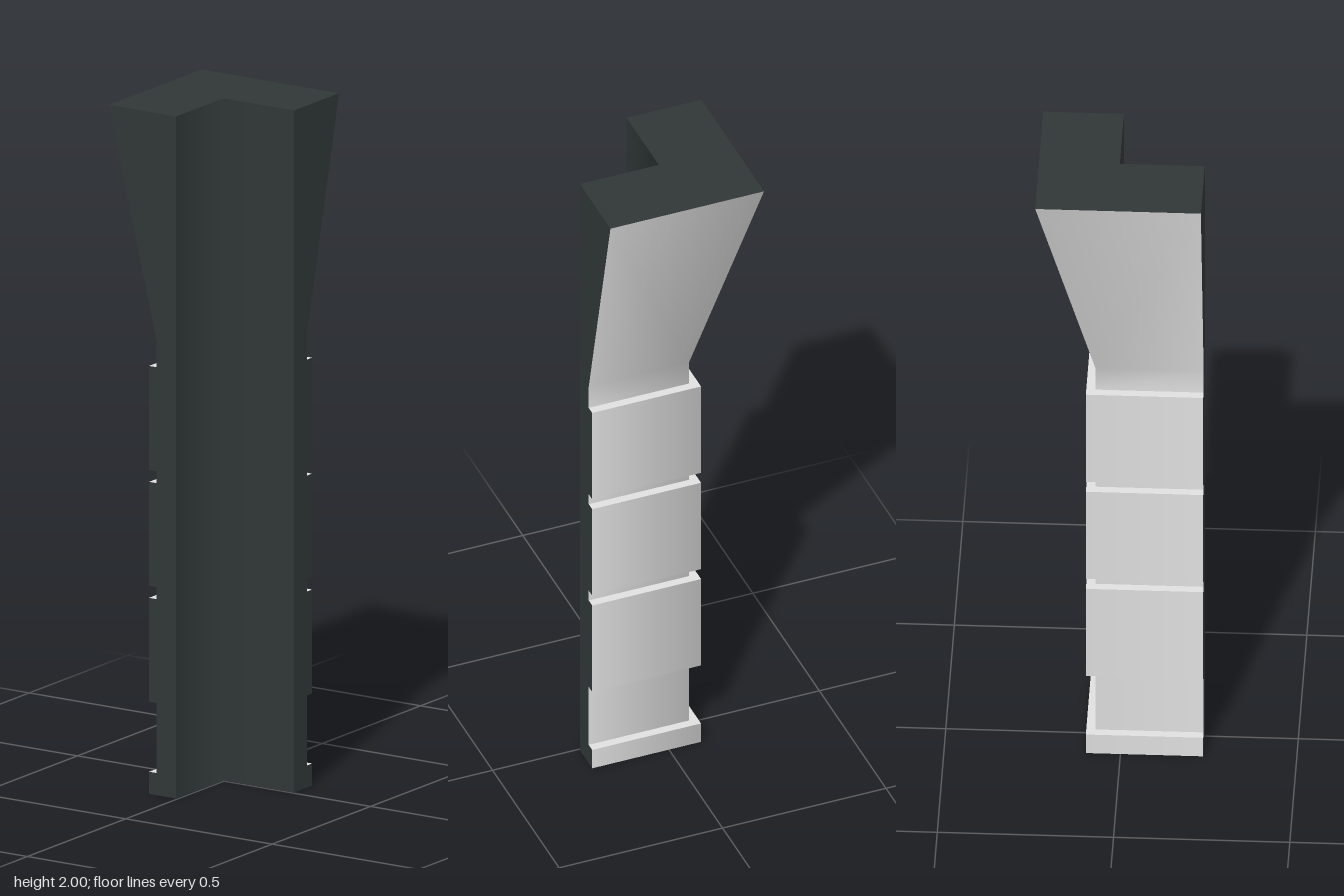
import * as THREE from 'three';
import { mergeGeometries } from 'three/addons/utils/BufferGeometryUtils.js';

const END = 0.235;    // where both arms of the L stop
const INNER = -0.006; // inside corner of the L
const NARROW = -0.072, WIDE = -0.098, FLARE = -0.235;

// Outer outline from bottom to top: [offset, y]
const profile = [[WIDE, 0], [WIDE, 0.065], [NARROW, 0.065]];
for (const y of [0.27, 0.61, 0.95]) {
  const top = y + 0.305;
  profile.push([NARROW, y], [WIDE, y], [WIDE, top], [NARROW, top]);
}
profile.push([NARROW, 1.33], [FLARE, 2]);

// Smooth surface wrapping round the corner through rows of [offset, y]; rows listed downward face inward
function cornerStrip(rows) {
  const position = [], index = [];
  rows.forEach(([d, y], r) => {
    position.push(d, y, END, d, y, d, END, y, d);
    if (r === 0) return;
    const low = (r - 1) * 3, high = r * 3;
    // Diagonals mirror each other at the corner so its normals stay symmetric
    index.push(low + 1, low, high, low + 1, high, high + 1);
    index.push(low + 2, low + 1, high + 2, low + 1, high + 1, high + 2);
  });
  const g = new THREE.BufferGeometry();
  g.setAttribute('position', new THREE.Float32BufferAttribute(position, 3));
  g.setIndex(index);
  g.computeVertexNormals();
  return g;
}

const flatShape = (points) =>
  new THREE.ShapeGeometry(new THREE.Shape(points.map(([x, y]) => new THREE.Vector2(x, y))));

// L-shaped cap outline; s flips z for the upper or lower side
const capOutline = (d, s) => [
  [d, s * d], [END, s * d], [END, s * INNER], [INNER, s * INNER], [INNER, s * END], [d, s * END],
];

export function createModel() {
  const model = new THREE.Group();
  const darkMetal = new THREE.MeshStandardMaterial({ color: 0x303737 });
  darkMetal.name = 'darkMetal';
  const greyCladding = new THREE.MeshStandardMaterial({ color: 0xe0e0e0 });
  greyCladding.name = 'greyCladding';

  const add = (name, geometry, material) => {
    const mesh = new THREE.Mesh(geometry, material);
    mesh.name = name;
    model.add(mesh);
  };

  // Stepped cladding panels, each band separate to keep the ledges crisp
  const split = profile.length - 3;
  const bands = [];
  for (let i = 0; i < split; i++) bands.push(cornerStrip([profile[i], profile[i + 1]]));
  add('claddingPanels', mergeGeometries(bands), greyCladding);

  // Neck and flared head, smooth round the corner
  add('flaredHead', cornerStrip(profile.slice(split)), greyCladding);

  // Inside of the L
  add('innerCorner', cornerStrip([[INNER, 2], [INNER, 0]]), darkMetal);

  // Profiled ends of the two arms
  const frontEnd = flatShape([...profile, [INNER, 2], [INNER, 0]]);
  add('frontArmEnd', frontEnd.translate(0, 0, END), darkMetal);
  const sideEnd = flatShape([...profile.map(([d, y]) => [-d, y]), [-INNER, 2], [-INNER, 0]]);
  add('leftArmEnd', sideEnd.rotateY(Math.PI / 2).translate(END, 0, 0), darkMetal);

  // Top and bottom caps
  add('topCap', flatShape(capOutline(FLARE, -1)).rotateX(-Math.PI / 2).translate(0, 2, 0), darkMetal);
  add('bottomCap', flatShape(capOutline(WIDE, 1)).rotateX(Math.PI / 2), darkMetal);

  return model;
}
